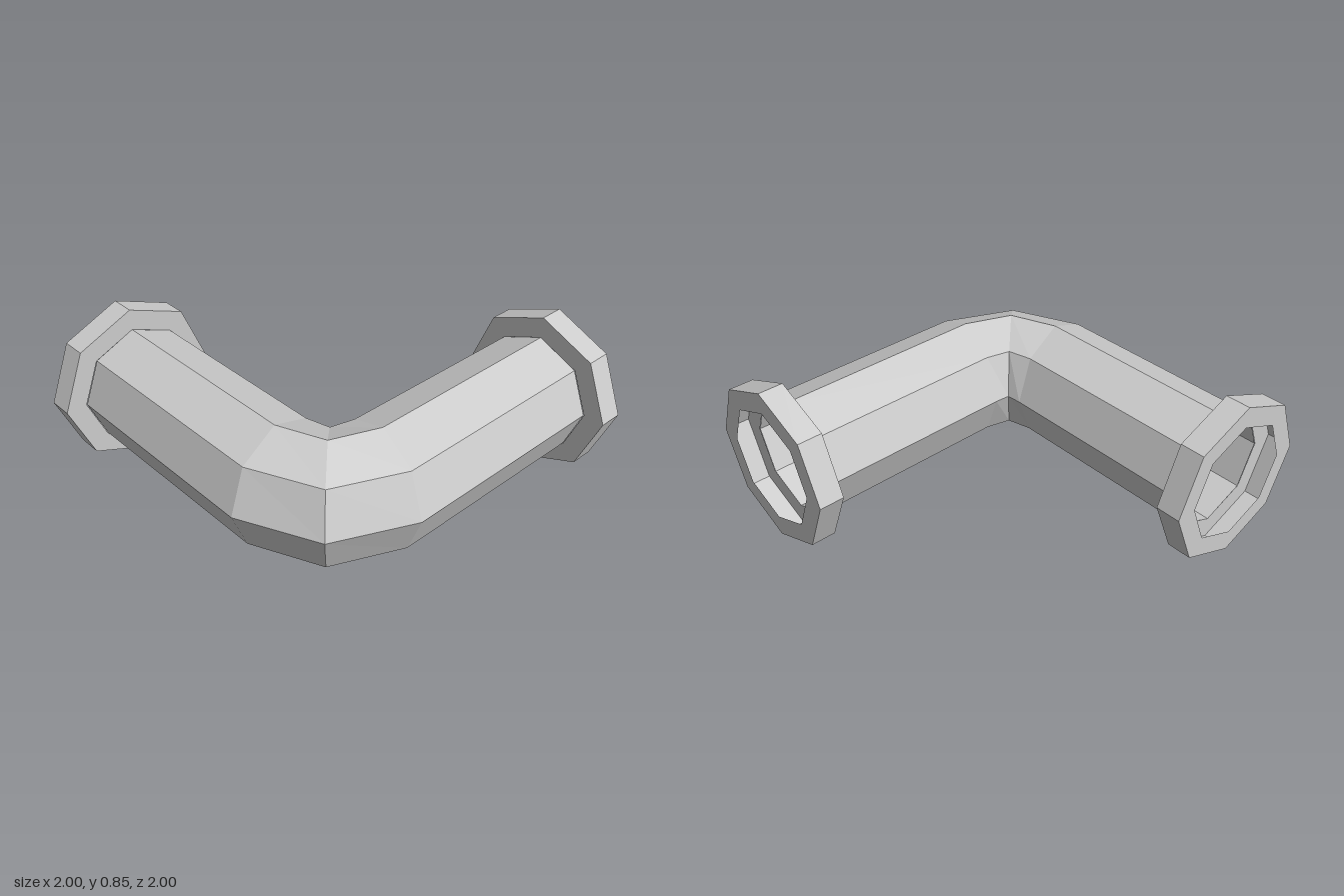
import * as THREE from 'three';

const SIDES = 8, R = 0.313, FLANGE_R = 0.425, Y = 0.425, OFF = 0.575;

const material = new THREE.MeshStandardMaterial({ color: 0xcccccc, flatShading: true, side: THREE.DoubleSide });

// Thin octagonal tube joining rings given as centre [x, z] and sideways radius [x, z]
function tube(rings) {
  const positions = [], index = [];
  for (const { c, u } of rings) {
    for (let i = 0; i < SIDES; i++) {
      const a = (i / SIDES) * Math.PI * 2;
      positions.push(c[0] + u[0] * Math.cos(a), Y + R * Math.sin(a), c[1] + u[1] * Math.cos(a));
    }
  }
  for (let j = 0; j < rings.length - 1; j++) {
    for (let i = 0; i < SIDES; i++) {
      const n = (i + 1) % SIDES;
      const a = j * SIDES + i, b = j * SIDES + n, c = a + SIDES, d = b + SIDES;
      index.push(a, c, b, b, c, d);
    }
  }
  const geometry = new THREE.BufferGeometry();
  geometry.setAttribute('position', new THREE.Float32BufferAttribute(positions, 3));
  geometry.setIndex(index);
  const flat = geometry.toNonIndexed();
  flat.computeVertexNormals();
  return flat;
}

// Hollow collar: back plate, outer wall and front plate, open towards the bore
function flange(name) {
  const profile = [[R, -0.065], [FLANGE_R, -0.065], [FLANGE_R, 0.065], [R, 0.065]]
    .map(([x, y]) => new THREE.Vector2(x, y));
  const mesh = new THREE.Mesh(new THREE.LatheGeometry(profile, SIDES), material);
  mesh.name = name;
  return mesh;
}

export function createModel() {
  const group = new THREE.Group();
  group.name = 'elbowPipe';

  // Elbow pipe: one arm, its mitred ring, the corner ring, then the mirrored arm
  const arm = [
    { c: [-OFF, -0.87], u: [-0.31, 0] },
    { c: [-OFF, 0.24], u: [-0.31, 0.06] },
  ];
  const corner = { c: [-0.48, 0.48], u: [-0.221, 0.221] };
  const swap = ([x, z]) => [-z, -x];
  const otherArm = arm.map(({ c, u }) => ({ c: swap(c), u: swap(u) })).reverse();
  const pipe = new THREE.Mesh(tube([...arm, corner, ...otherArm]), material);
  pipe.name = 'pipe';
  group.add(pipe);

  // Flange on the back opening
  const backFlange = flange('backFlange');
  backFlange.rotation.x = -Math.PI / 2;
  backFlange.position.set(-OFF, Y, -0.935);
  group.add(backFlange);

  // Flange on the left opening
  const leftFlange = flange('leftFlange');
  leftFlange.rotation.z = -Math.PI / 2;
  leftFlange.position.set(0.935, Y, OFF);
  group.add(leftFlange);

  return group;
}
